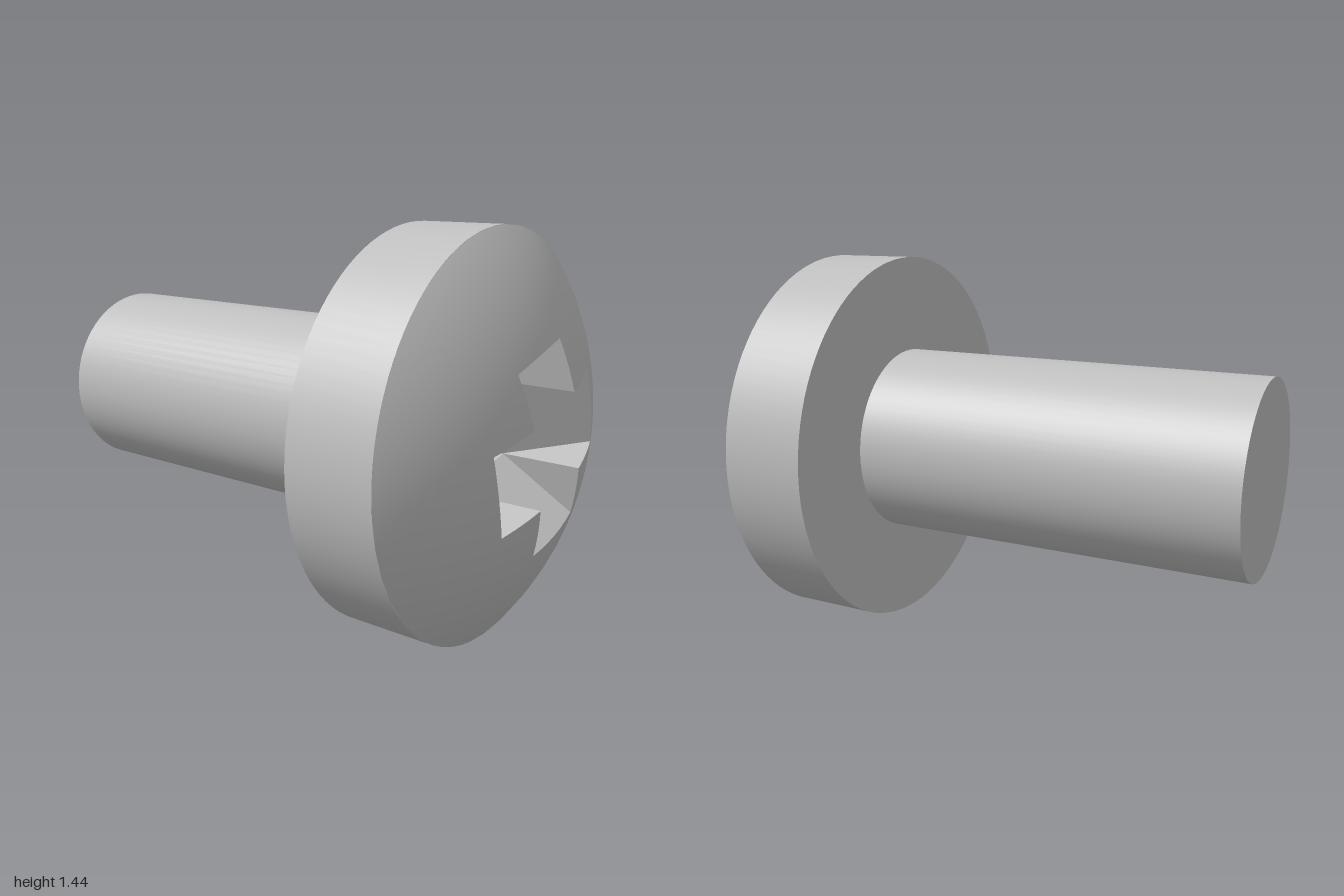
import * as THREE from 'three';

const CY = 0.72;                 // height of the screw axis
const HEAD_R = 0.72, SHAFT_R = 0.357;
const BACK = -1, HEAD_BACK = 0.44, RIM = 0.765, APEX = 1.018;
const CAP = APEX - RIM;
const R = (HEAD_R * HEAD_R + CAP * CAP) / (2 * CAP);   // dome sphere radius
const ZC = APEX - R;                                   // dome sphere centre
const W = 0.146;                 // half width of a recess arm
const FLOOR = 0.517, SLOPE = 1.32; // recess depth on the axis, rise of the arm floors
const TURN = THREE.MathUtils.degToRad(15);

const domeZ = (u, v) => ZC + Math.sqrt(R * R - u * u - v * v);

// distance v along an arm where its sloping floor meets the dome
function armEnd(u) {
  let lo = W, hi = 0.6;
  for (let i = 0; i < 40; i++) {
    const m = (lo + hi) / 2;
    if (FLOOR + SLOPE * m < domeZ(u, m)) lo = m; else hi = m;
  }
  return lo;
}

// outline of the cross as [x, y] points, counterclockwise
function crossOutline() {
  const arm = [];
  const end = armEnd(W), n = 6;
  for (let i = 0; i < n; i++) arm.push([W + (end - W) * i / n, -W]);
  for (let i = 0; i <= n; i++) {
    const t = -W + 2 * W * i / n;
    arm.push([armEnd(t), t]);
  }
  for (let i = n - 1; i > 0; i--) arm.push([W + (end - W) * i / n, W]);
  const pts = [];
  for (let q = 0; q < 4; q++) {
    const c = Math.round(Math.cos(q * Math.PI / 2)), s = Math.round(Math.sin(q * Math.PI / 2));
    for (const [x, y] of arm) pts.push([x * c - y * s, x * s + y * c]);
  }
  return pts;
}

// domed face running from the cross outline out to the rim
function domeGeometry() {
  const outline = crossOutline(), n = outline.length, rings = 10;
  const pos = [], nor = [], idx = [];
  for (let j = 0; j <= rings; j++) {
    for (const [x, y] of outline) {
      const r0 = Math.hypot(x, y);
      const r = r0 + (HEAD_R - r0) * j / rings;
      const px = x / r0 * r, py = y / r0 * r, pz = domeZ(px, py);
      pos.push(px, py, pz);
      nor.push(px / R, py / R, (pz - ZC) / R);
    }
  }
  for (let j = 0; j < rings; j++) {
    for (let i = 0; i < n; i++) {
      const k = (i + 1) % n;
      const a = j * n + i, b = j * n + k, c = a + n, d = b + n;
      idx.push(a, c, d, a, d, b);
    }
  }
  const g = new THREE.BufferGeometry();
  g.setAttribute('position', new THREE.Float32BufferAttribute(pos, 3));
  g.setAttribute('normal', new THREE.Float32BufferAttribute(nor, 3));
  g.setIndex(idx);
  return g;
}

// one quarter of the recess: arm floor, side walls, step walls and centre floor
function recessArmGeometry() {
  const pos = [];
  const eye = new THREE.Vector3(0, 0, 3);
  const tri = (...p) => {
    let [a, b, c] = p.map(q => new THREE.Vector3(...q));
    const normal = b.clone().sub(a).cross(c.clone().sub(a));
    if (normal.dot(eye.clone().sub(a)) < 0) [b, c] = [c, b];
    for (const v of [a, b, c]) pos.push(v.x, v.y, v.z);
  };
  const low = FLOOR + SLOPE * W, n = 6;
  const floorAt = (u, v) => [u, v, FLOOR + SLOPE * v];
  for (let i = 0; i < n; i++) {
    const u0 = -W + 2 * W * i / n, u1 = -W + 2 * W * (i + 1) / n;
    const a = floorAt(u0, W), b = floorAt(u1, W);
    const c = floorAt(u1, armEnd(u1)), d = floorAt(u0, armEnd(u0));
    tri(a, b, c);
    tri(a, c, d);
  }
  const end = armEnd(W);
  for (const s of [-1, 1]) {
    for (let i = 0; i < n; i++) {
      const v0 = W + (end - W) * i / n, v1 = W + (end - W) * (i + 1) / n;
      const a = floorAt(s * W, v0), b = floorAt(s * W, v1);
      const c = [s * W, v1, domeZ(W, v1)], d = [s * W, v0, domeZ(W, v0)];
      if (i < n - 1) tri(a, b, c);
      tri(a, c, d);
    }
    tri([0, W, FLOOR], [s * W, W, low], [0, W, low]);
    tri([0, 0, FLOOR], [0, W, FLOOR], [s * W, W, low]);
  }
  const g = new THREE.BufferGeometry();
  g.setAttribute('position', new THREE.Float32BufferAttribute(pos, 3));
  g.computeVertexNormals();
  return g;
}

export function createModel() {
  const steel = new THREE.MeshStandardMaterial({ color: 0xc0c0c0 });
  steel.name = 'steel';
  const model = new THREE.Group();
  model.name = 'screw';
  const add = (name, geometry, parent = model) => {
    const mesh = new THREE.Mesh(geometry, steel);
    mesh.name = name;
    parent.add(mesh);
    return mesh;
  };

  // shaft
  const shaftLength = HEAD_BACK - BACK;
  add('shaft', new THREE.CylinderGeometry(SHAFT_R, SHAFT_R, shaftLength, 72)
    .rotateX(Math.PI / 2).translate(0, CY, BACK + shaftLength / 2));

  // straight side of the head and its flat underside
  add('headSide', new THREE.CylinderGeometry(HEAD_R, HEAD_R, RIM - HEAD_BACK, 96, 1, true)
    .rotateX(Math.PI / 2).translate(0, CY, (RIM + HEAD_BACK) / 2));
  add('headUnderside', new THREE.RingGeometry(SHAFT_R - 0.01, HEAD_R, 96)
    .rotateY(Math.PI).translate(0, CY, HEAD_BACK));

  // domed face with the cross recess, turned slightly about the axis
  const face = new THREE.Group();
  face.name = 'headFace';
  face.position.y = CY;
  face.rotation.z = TURN;
  model.add(face);
  add('dome', domeGeometry(), face);
  const arm = recessArmGeometry();
  for (let q = 0; q < 4; q++) {
    add('recessArm', arm, face).rotation.z = q * Math.PI / 2;
  }
  return model;
}
